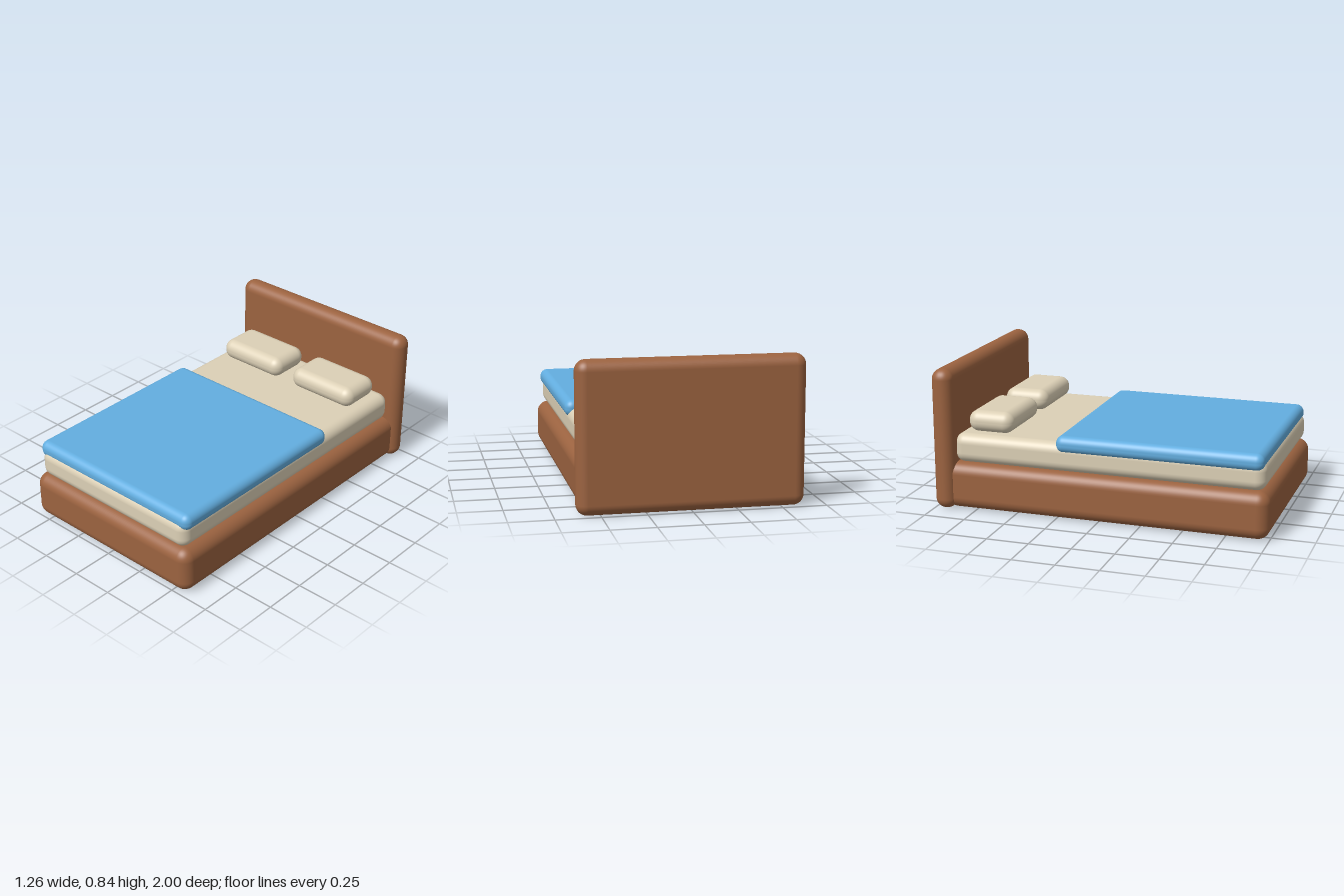
import * as THREE from 'three';
import { RoundedBoxGeometry } from 'three/addons/geometries/RoundedBoxGeometry.js';

function flat(name, color) {
  const m = new THREE.MeshStandardMaterial({ color });
  m.name = name;
  return m;
}

export function createModel() {
  const bed = new THREE.Group();
  bed.name = 'bed';
  const wood = flat('brown wood', 0x9c6340);
  const linen = flat('cream linen', 0xdcd0b6);
  const blue = flat('blue blanket', 0x63aee0);

  // Soft-edged block given by its min and max along each axis
  const block = (name, material, [x0, x1], [y0, y1], [z0, z1], radius) => {
    const mesh = new THREE.Mesh(
      new RoundedBoxGeometry(x1 - x0, y1 - y0, z1 - z0, 6, radius), material);
    mesh.name = name;
    mesh.position.set((x0 + x1) / 2, (y0 + y1) / 2, (z0 + z1) / 2);
    bed.add(mesh);
  };

  // Wooden frame
  block('base', wood, [-0.605, 0.605], [0.004, 0.282], [-0.94, 1], 0.07);
  block('headboard', wood, [-0.632, 0.632], [0, 0.842], [-1, -0.871], 0.062);

  // Bedding
  block('mattress', linen, [-0.57, 0.57], [0.278, 0.452], [-0.89, 0.973], 0.06);
  block('blanket', blue, [-0.585, 0.585], [0.396, 0.496], [-0.252, 0.962], 0.045);

  // Pillow pair
  block('leftPillow', linen, [0.05, 0.508], [0.452, 0.579], [-0.825, -0.545], 0.06);
  block('rightPillow', linen, [-0.508, -0.05], [0.452, 0.579], [-0.825, -0.545], 0.06);

  return bed;
}
